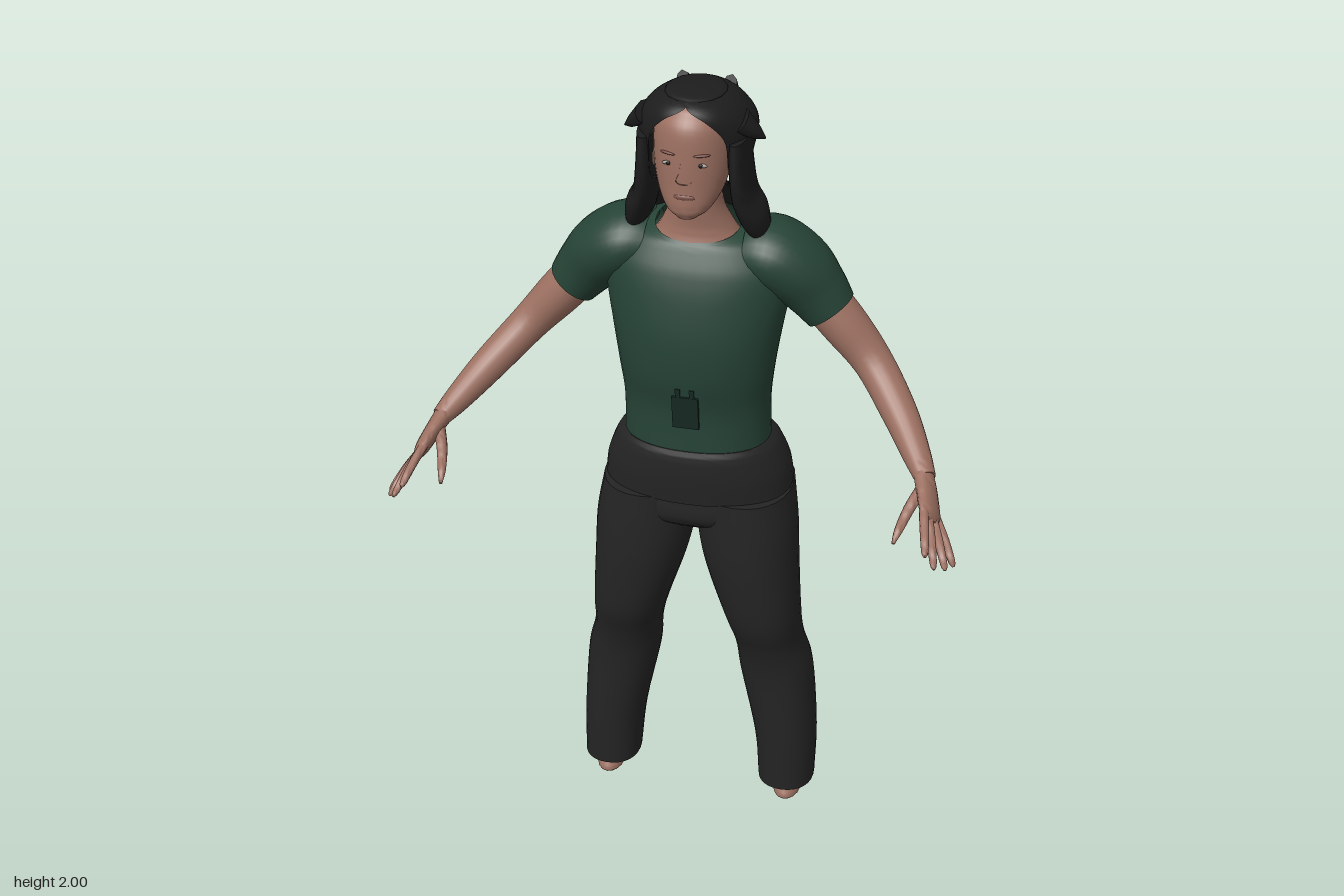
import * as THREE from 'three';
import { toCreasedNormals } from 'three/addons/utils/BufferGeometryUtils.js';

const mat = (name, color, side = THREE.FrontSide) => {
  const m = new THREE.MeshStandardMaterial({ color, side });
  m.name = name;
  return m;
};

// Sweeps an oval through sections [x, y, z, rx, rz, gap, tilt].
// upright: rings stay level; otherwise they turn with the path.
// gap: half angle left open at the front; tilt: rise of the ring per unit of z.
function sweep(sections, { upright = false, sides = 28, steps = 5, power = 1, caps = true } = {}) {
  const path = new THREE.CatmullRomCurve3(sections.map(s => new THREE.Vector3(s[0], s[1], s[2])), false, 'catmullrom', 0.5);
  const size = new THREE.CatmullRomCurve3(sections.map(s => new THREE.Vector3(s[3], s[4], s[5] || 0)), false, 'catmullrom', 0.5);
  const rows = (sections.length - 1) * steps;
  const pos = [], idx = [], centres = [];
  const bend = v => Math.sign(v) * Math.abs(v) ** power;
  for (let i = 0; i <= rows; i++) {
    const k = i / rows, c = path.getPoint(k), r = size.getPoint(k);
    const t = upright ? new THREE.Vector3(0, 1, 0) : path.getTangent(k);
    const u = new THREE.Vector3(0, 0, 1).addScaledVector(t, -t.z).normalize();
    const v = t.clone().cross(u);
    const f = Math.min(Math.floor(i / steps), sections.length - 2), w = i / steps - f;
    const tilt = (sections[f][6] || 0) * (1 - w) + (sections[f + 1][6] || 0) * w;
    const gap = Math.max(0, r.z);
    centres.push(c);
    for (let j = 0; j <= sides; j++) {
      const a = gap + (j / sides) * (2 * Math.PI - 2 * gap);
      const p = c.clone().addScaledVector(u, r.y * bend(Math.cos(a))).addScaledVector(v, r.x * bend(Math.sin(a)));
      p.y += tilt * (p.z - c.z);
      pos.push(p.x, p.y, p.z);
    }
  }
  const n = sides + 1;
  for (let i = 0; i < rows; i++) for (let j = 0; j < sides; j++) {
    const a = i * n + j;
    idx.push(a, a + 1, a + n, a + 1, a + n + 1, a + n);
  }
  if (caps) {
    const first = pos.length / 3, last = rows * n;
    pos.push(...centres[0].toArray(), ...centres[rows].toArray());
    for (let j = 0; j < sides; j++) idx.push(first, j + 1, j, first + 1, last + j, last + j + 1);
  }
  const g = new THREE.BufferGeometry();
  g.setAttribute('position', new THREE.Float32BufferAttribute(pos, 3));
  g.setIndex(idx);
  return toCreasedNormals(g, 1);
}

export function createModel() {
  const model = new THREE.Group();
  const skin = mat('skin', 0x9c7061);
  const shirt = mat('shirt green', 0x264336, THREE.DoubleSide);
  const trousers = mat('trouser black', 0x242424, THREE.DoubleSide);
  const hair = mat('hair black', 0x1d1d1d, THREE.DoubleSide);
  const dark = mat('badge green', 0x172a22);
  const lip = mat('lip brown', 0x7c5047);
  const eyeWhite = mat('eye white', 0xa99a90);

  const add = (name, geometry, material, parent = model) => {
    const m = new THREE.Mesh(geometry, material);
    m.name = name;
    parent.add(m);
    return m;
  };
  const blob = (name, material, p, s) => {
    const m = add(name, new THREE.SphereGeometry(1, 16, 12), material);
    m.position.set(...p);
    m.scale.set(...s);
    return m;
  };

  // Shirt body with a round collar
  add('shirtBody', sweep([
    [0, 1.08, -0.1, 0.18, 0.13], [0, 1.2, -0.092, 0.178, 0.123], [0, 1.3, -0.085, 0.188, 0.135],
    [0, 1.4, -0.09, 0.203, 0.145], [0, 1.5, -0.1, 0.22, 0.14], [0, 1.57, -0.108, 0.22, 0.128],
    [0, 1.63, -0.105, 0.17, 0.1, 0, -0.1], [0, 1.655, -0.095, 0.1, 0.08, 0, -0.25],
  ], { upright: true, sides: 40, power: 0.9, caps: false }), shirt);

  // Small badge with two tabs on the belly
  const badge = new THREE.Group();
  badge.name = 'badge';
  badge.position.set(0, 1.215, 0.036);
  badge.rotation.x = 0.13;
  model.add(badge);
  add('badgePlate', new THREE.BoxGeometry(0.064, 0.09, 0.009), dark, badge);
  for (const s of [-1, 1]) {
    add('badgeTab', new THREE.BoxGeometry(0.012, 0.025, 0.008), dark, badge).position.set(s * 0.017, 0.055, 0);
  }

  // Hips and folded waistband
  add('hips', sweep([
    [0, 0.86, -0.095, 0.17, 0.08], [0, 0.9, -0.1, 0.225, 0.128], [0, 0.97, -0.112, 0.23, 0.14], [0, 1.04, -0.11, 0.21, 0.138],
  ], { upright: true, power: 0.9 }), trousers);
  add('waistband', sweep([
    [0, 0.965, -0.115, 0.234, 0.15, 0, -0.06], [0, 1.02, -0.115, 0.226, 0.155], [0, 1.08, -0.108, 0.202, 0.147], [0, 1.103, -0.1, 0.182, 0.132],
  ], { upright: true, sides: 40, power: 0.9 }), trousers);

  // Neck and head
  add('neck', sweep([
    [0, 1.62, -0.095, 0.11, 0.085], [0, 1.66, -0.09, 0.085, 0.07], [0, 1.72, -0.075, 0.062, 0.06], [0, 1.8, -0.07, 0.062, 0.062],
  ], { upright: true }), skin);
  add('head', sweep([
    [0, 1.718, 0.018, 0.022, 0.022], [0, 1.74, 0, 0.053, 0.05], [0, 1.79, -0.03, 0.079, 0.08],
    [0, 1.86, -0.045, 0.09, 0.095], [0, 1.93, -0.052, 0.086, 0.095], [0, 1.97, -0.058, 0.06, 0.07],
  ], { upright: true, sides: 36 }), skin);
  add('nose', sweep([
    [0, 1.868, 0.043, 0.007, 0.009], [0, 1.835, 0.049, 0.011, 0.014], [0, 1.817, 0.05, 0.018, 0.018], [0, 1.808, 0.045, 0.012, 0.01],
  ], { upright: true, sides: 16 }), skin);
  blob('mouth', lip, [0, 1.775, 0.043], [0.027, 0.009, 0.009]);

  // Hair cap, open around the face
  add('hairCap', sweep([
    [0, 1.785, -0.06, 0.09, 0.088, 1], [0, 1.8, -0.075, 0.115, 0.115, 0.9], [0, 1.85, -0.085, 0.128, 0.13, 0.78],
    [0, 1.91, -0.09, 0.136, 0.14, 0.66], [0, 1.955, -0.078, 0.113, 0.13, 0.42], [0, 1.983, -0.07, 0.078, 0.1, 0],
    [0, 1.998, -0.07, 0.035, 0.045, 0],
  ], { upright: true, sides: 40, caps: false }), hair);
  blob('hairCrown', hair, [0, 1.988, -0.07], [0.07, 0.012, 0.085]);

  // Long hair falling over the back
  add('hairBack', sweep([
    [0, 1.395, -0.1, 0.185, 0.13, 2.05], [0, 1.4, -0.1, 0.2, 0.22, 2.05], [0, 1.5, -0.1, 0.195, 0.198, 2.0],
    [0, 1.6, -0.1, 0.18, 0.17, 1.9], [0, 1.68, -0.09, 0.15, 0.125, 1.6], [0, 1.73, -0.085, 0.1, 0.09, 1.45],
  ], { upright: true, sides: 32, caps: false }), hair);

  // Paired parts
  for (const s of [-1, 1]) {
    const side = s > 0 ? 'left' : 'right';
    const part = (name, sections, material, options) =>
      add(side + name, sweep(sections.map(([x, ...rest]) => [s * x, ...rest]), options), material);

    // Face details
    blob(side + 'Eye', eyeWhite, [s * 0.037, 1.853, 0.04], [0.015, 0.005, 0.004]);
    blob(side + 'Iris', hair, [s * 0.037, 1.853, 0.0425], [0.005, 0.005, 0.003]);
    blob(side + 'Brow', lip, [s * 0.039, 1.876, 0.039], [0.02, 0.0035, 0.005]).rotation.y = s * 0.4;
    blob(side + 'Ear', skin, [s * 0.093, 1.84, -0.03], [0.012, 0.032, 0.02]);

    // Side locks and loose tips of hair
    part('HairLock', [
      [0.105, 1.9, -0.05, 0.022, 0.07], [0.108, 1.82, -0.055, 0.024, 0.075], [0.115, 1.75, -0.065, 0.028, 0.07],
      [0.132, 1.7, -0.08, 0.034, 0.062], [0.145, 1.66, -0.095, 0.026, 0.05],
    ], hair, { sides: 20 });
    part('HairTip', [[0.11, 1.935, -0.04, 0.025, 0.04], [0.14, 1.908, -0.05, 0.015, 0.025], [0.162, 1.892, -0.055, 0.002, 0.003]], hair, { sides: 10 });
    part('HairBackTip', [[0.05, 1.95, -0.16, 0.02, 0.04], [0.045, 1.93, -0.215, 0.02, 0.02], [0.04, 1.915, -0.238, 0.004, 0.004]], hair, { sides: 10 });

    // Sleeve and arm
    part('Sleeve', [
      [0.11, 1.59, -0.108, 0.07, 0.09], [0.17, 1.588, -0.112, 0.083, 0.108], [0.23, 1.55, -0.116, 0.084, 0.1],
      [0.275, 1.5, -0.118, 0.075, 0.08], [0.312, 1.452, -0.117, 0.064, 0.067],
    ], shirt, { caps: false });
    part('Arm', [
      [0.25, 1.525, -0.117, 0.056, 0.058], [0.335, 1.43, -0.117, 0.056, 0.06], [0.42, 1.335, -0.1, 0.047, 0.05],
      [0.5, 1.252, -0.02, 0.042, 0.044], [0.555, 1.195, 0.06, 0.033, 0.035], [0.585, 1.165, 0.11, 0.024, 0.028],
    ], skin, { sides: 20 });

    // Hand, fingers and thumb
    part('Palm', [
      [0.578, 1.172, 0.098, 0.023, 0.027], [0.595, 1.145, 0.14, 0.02, 0.038], [0.61, 1.118, 0.185, 0.017, 0.043], [0.617, 1.105, 0.205, 0.009, 0.034],
    ], skin, { sides: 16 });
    [[0.62, 1.082, 0.312], [0.642, 1.052, 0.312], [0.664, 1.032, 0.28], [0.678, 1.018, 0.24]].forEach((tip, i) => {
      const o = 0.031 - i * 0.0205;
      const base = [0.61 - 0.4 * o, 1.117 + 0.68 * o, 0.185 + 0.6 * o];
      const at = k => base.map((b, d) => b + (tip[d] - b) * k + (d === 1 ? 0.02 * k * (1 - k) : 0));
      part('Finger' + (i + 1), [[...at(0), 0.011, 0.011], [...at(0.5), 0.0105, 0.0105], [...at(0.9), 0.008, 0.008], [...at(1), 0.003, 0.003]], skin, { sides: 10, steps: 3 });
    });
    part('Thumb', [
      [0.585, 1.155, 0.13, 0.014, 0.016], [0.562, 1.122, 0.18, 0.013, 0.014], [0.547, 1.092, 0.23, 0.01, 0.01], [0.54, 1.074, 0.262, 0.004, 0.004],
    ], skin, { sides: 10 });

    // Trouser leg, listed from cuff to hip
    part('TrouserLeg', [
      [0.238, 0.052, -0.122, 0.073, 0.083], [0.231, 0.2, -0.132, 0.08, 0.097], [0.203, 0.4, -0.13, 0.093, 0.1],
      [0.186, 0.5, -0.113, 0.086, 0.102], [0.17, 0.6, -0.09, 0.096, 0.113], [0.142, 0.75, -0.088, 0.116, 0.124],
      [0.128, 0.86, -0.094, 0.124, 0.13], [0.118, 0.96, -0.114, 0.118, 0.146],
    ], trousers, { upright: true, power: 0.9 });

    // Foot below the cuff
    part('Foot', [
      [0.243, 0, -0.115, 0.03, 0.05], [0.243, 0.012, -0.112, 0.036, 0.056], [0.242, 0.04, -0.117, 0.032, 0.048], [0.24, 0.09, -0.125, 0.032, 0.04],
    ], skin, { upright: true, sides: 16 });
  }
  return model;
}
